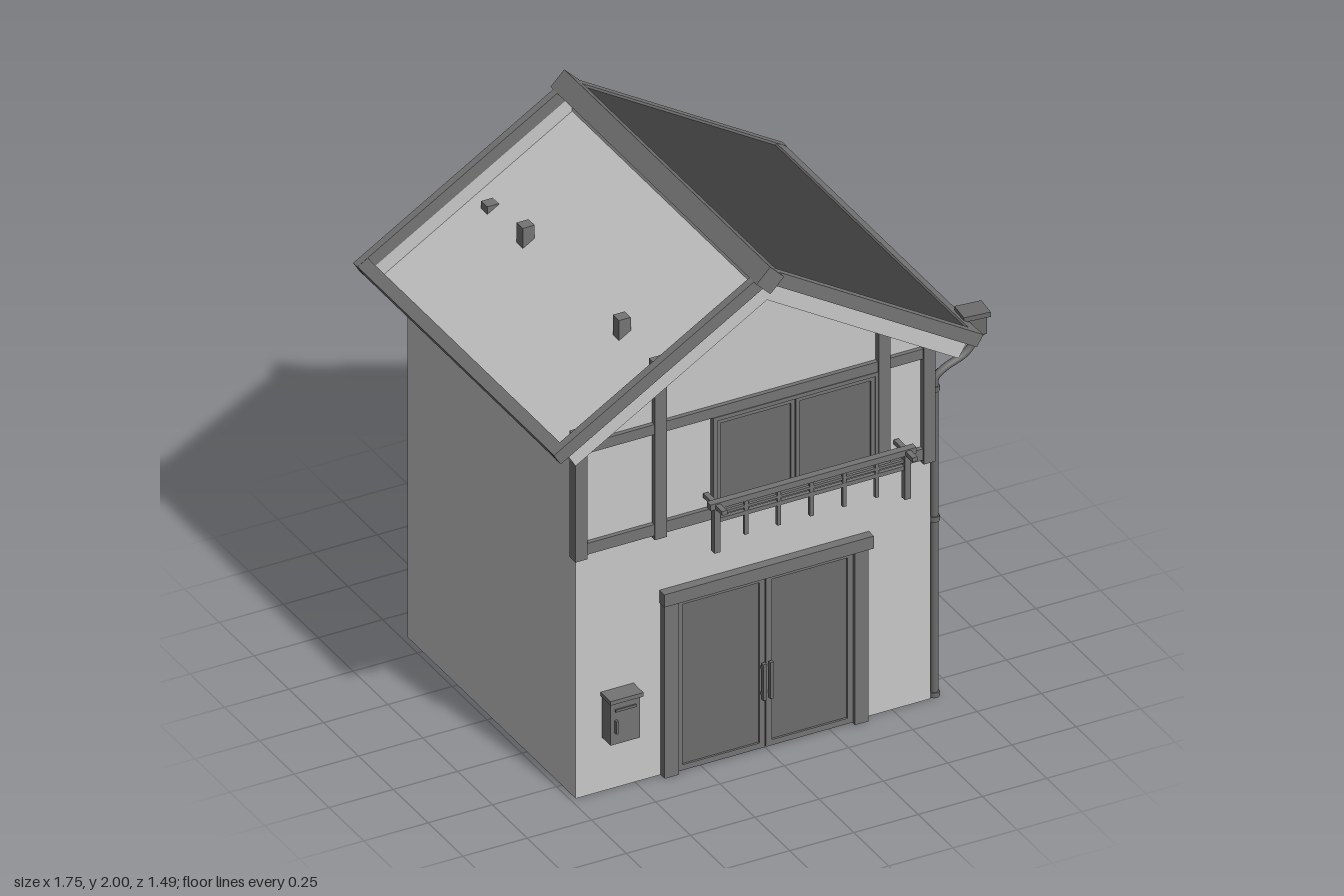
import * as THREE from 'three';

export function createModel() {
  const model = new THREE.Group();
  model.name = 'house';
  const mat = (name, color, side = THREE.FrontSide) => {
    const m = new THREE.MeshStandardMaterial({ color, side });
    m.name = name;
    return m;
  };
  const plaster = mat('plaster', 0xc8c8c8, THREE.DoubleSide);
  const timber = mat('timber', 0x747474);
  const joinery = mat('joinery', 0x6c6c6c);
  const slate = mat('slate', 0x3f3f3f);

  const add = (name, geo, material, parent = model) => {
    const m = new THREE.Mesh(geo, material);
    m.name = name;
    parent.add(m);
    return m;
  };
  // Box given by its limits on each axis
  const box = (name, material, x0, x1, y0, y1, z0, z1, parent = model) => {
    const m = add(name, new THREE.BoxGeometry(x1 - x0, y1 - y0, z1 - z0), material, parent);
    m.position.set((x0 + x1) / 2, (y0 + y1) / 2, (z0 + z1) / 2);
    return m;
  };
  const shapeOf = pts => new THREE.Shape(pts.map(p => new THREE.Vector2(...p)));

  // ---- Walls: an open-bottomed thin shell ----
  const MID = -0.04, HALF = 0.69, APEX = 1.85, EAVE = 1.433, FRONT = 0.6, BACK = -0.608;
  const gable = shapeOf([[-HALF, 0], [HALF, 0], [HALF, EAVE], [0, APEX], [-HALF, EAVE]]);
  add('frontWall', new THREE.ShapeGeometry(gable), plaster).position.set(MID, 0, FRONT);
  const rear = add('backWall', new THREE.ShapeGeometry(gable), plaster);
  rear.position.set(MID, 0, BACK);
  rear.rotation.y = Math.PI;
  for (const s of [-1, 1]) {
    const side = s > 0
      ? shapeOf([[-FRONT, 0], [0.045, 0], [0.045, 0.615], [0.355, 0.615], [0.355, 0], [-BACK, 0], [-BACK, EAVE], [-FRONT, EAVE]])
      : shapeOf([[BACK, 0], [FRONT, 0], [FRONT, EAVE], [BACK, EAVE]]);
    const wall = add(s > 0 ? 'leftWall' : 'rightWall', new THREE.ShapeGeometry(side), plaster);
    wall.position.x = MID + s * HALF;
    wall.rotation.y = s * Math.PI / 2;
  }

  // ---- Roof: d runs down the slope, n stands off the soffit ----
  const C = 0.856, S = 0.517;
  const slope = (name, material, s, d0, d1, n0, n1, z0, z1) => {
    const at = (d, n) => [MID + s * (d * C + n * S), APEX - d * S + n * C];
    const top = n => (d0 === null ? -n * S / C : d0); // null: mitred at the ridge
    const shape = shapeOf([at(top(n0), n0), at(d1, n0), at(d1, n1), at(top(n1), n1)]);
    const geo = new THREE.ExtrudeGeometry(shape, { depth: z1 - z0, bevelEnabled: false });
    add(name, geo, material).position.z = z0;
  };
  for (const s of [-1, 1]) {
    slope('frontRake', timber, s, null, 0.909, 0.061, 0.111, 0.68, 0.712);
    slope('backRake', timber, s, null, 0.909, 0.061, 0.111, -0.73, -0.7);
    slope('eaveBeam', timber, s, 0.862, 0.908, 0.061, 0.11, -0.725, 0.708);
  }
  slope('roofSlab', plaster, 1, null, 0.87, 0, 0.061, -0.71, 0.7);
  slope('roofCovering', slate, 1, null, 0.862, 0.061, 0.102, -0.7, 0.68);
  // Uncovered slope: sunken deck with edge boards
  slope('openDeck', plaster, -1, null, 0.87, 0, 0.006, -0.71, 0.7);
  slope('frontEdgeBoard', plaster, -1, null, 0.87, 0, 0.061, 0.69, 0.7);
  slope('backEdgeBoard', plaster, -1, null, 0.87, 0, 0.061, -0.71, -0.7);
  slope('eaveEdgeBoard', plaster, -1, 0.864, 0.87, 0, 0.061, -0.71, 0.7);
  slope('eaveInnerStrip', slate, -1, 0.859, 0.864, 0.006, 0.061, -0.7, 0.69);
  const ridge = add('ridgeBeam', new THREE.CylinderGeometry(0.054, 0.054, 1.48, 4), timber);
  ridge.rotation.x = Math.PI / 2;
  ridge.position.set(-0.045, 1.946, -0.007);

  // ---- Timber framing ----
  const post = (x, z, y0, y1) => box('post', timber, x - 0.023, x + 0.023, y0, y1, z - 0.022, z + 0.022);
  post(-0.72, 0.6, 0.96, 1.465);
  post(-0.41, 0.6, 0.96, 1.665);
  post(0.46, 0.6, 0.96, 1.57);
  post(0.635, 0.6, 0.96, 1.465);
  post(-0.41, -0.605, 0.955, 1.65);
  post(0.46, -0.605, 0.955, 1.57);
  for (const z of [-0.35, 0.34]) post(-0.41, z, 1.56, 1.7);
  box('upperRail', timber, -0.72, 0.64, 1.38, 1.42, 0.585, 0.617);
  box('lowerRail', timber, -0.72, 0.64, 0.975, 1.02, 0.585, 0.617);
  box('backRail', timber, -0.41, 0.46, 0.975, 1.02, -0.624, -0.59);

  // Leaf with a raised surround and a sunken pane, facing +z
  const leaf = (name, x0, x1, y0, y1, z, w, parent = model) => {
    box(name + 'Pane', joinery, x0, x1, y0, y1, z - 0.02, z, parent);
    box(name + 'Stile', timber, x0, x0 + w, y0, y1, z, z + 0.008, parent);
    box(name + 'Stile', timber, x1 - w, x1, y0, y1, z, z + 0.008, parent);
    box(name + 'Rail', timber, x0 + w, x1 - w, y0, y0 + w, z, z + 0.008, parent);
    box(name + 'Rail', timber, x0 + w, x1 - w, y1 - w, y1, z, z + 0.008, parent);
  };

  // ---- Upper window ----
  leaf('window', -0.19, 0.114, 1.02, 1.365, 0.607, 0.015);
  leaf('window', 0.118, 0.425, 1.02, 1.365, 0.607, 0.015);
  box('windowJamb', timber, -0.205, -0.19, 1.02, 1.378, 0.59, 0.62);
  box('windowJamb', timber, 0.425, 0.44, 1.02, 1.378, 0.59, 0.62);
  box('windowHead', timber, -0.205, 0.44, 1.365, 1.38, 0.59, 0.62);

  // ---- Window rack ----
  const rack = new THREE.Group();
  rack.name = 'windowRack';
  model.add(rack);
  for (const x of [-0.23, 0.51]) {
    box('rackPost', timber, x - 0.012, x + 0.012, 0.89, 1.08, 0.672, 0.696, rack);
    box('rackArm', timber, x - 0.01, x + 0.01, 1.068, 1.085, 0.61, 0.747, rack);
  }
  box('rackTopRail', timber, -0.258, 0.543, 1.066, 1.09, 0.67, 0.698, rack);
  box('rackMiddleRail', timber, -0.23, 0.51, 1.036, 1.046, 0.678, 0.69, rack);
  box('rackLowerRail', timber, -0.23, 0.51, 1.008, 1.024, 0.676, 0.692, rack);
  for (let i = 0; i < 5; i++) {
    const x = -0.115 + i * 0.1273;
    box('rackBar', timber, x - 0.007, x + 0.007, 0.928, 1.07, 0.677, 0.691, rack);
  }

  // ---- Double front doors ----
  box('doorLintel', timber, -0.405, 0.41, 0.69, 0.74, 0.58, 0.636);
  box('doorPost', timber, -0.4, -0.345, 0, 0.69, 0.585, 0.63);
  box('doorPost', timber, 0.34, 0.393, 0, 0.69, 0.585, 0.63);
  for (const s of [-1, 1]) {
    const a = s < 0 ? -0.345 : 0.002, b = s < 0 ? -0.002 : 0.34;
    leaf('frontDoor', a, b, 0.004, 0.69, 0.608, 0.022);
    const x = s * 0.014;
    box('doorHandle', joinery, x - 0.007, x + 0.007, 0.205, 0.35, 0.624, 0.638);
    for (const y of [0.225, 0.33]) box('handleMount', joinery, x - 0.005, x + 0.005, y - 0.006, y + 0.006, 0.61, 0.626);
  }

  // ---- Recessed side door ----
  box('doorReveal', plaster, 0.585, 0.65, 0, 0.615, -0.045, -0.041);
  box('doorReveal', plaster, 0.585, 0.65, 0, 0.615, -0.359, -0.355);
  box('doorReveal', plaster, 0.585, 0.65, 0.605, 0.615, -0.355, -0.045);
  const sideDoor = new THREE.Group();
  sideDoor.name = 'sideDoor';
  sideDoor.position.set(0.59, 0, -0.2);
  sideDoor.rotation.y = Math.PI / 2;
  model.add(sideDoor);
  box('sideDoorPanel', timber, -0.155, 0.155, 0, 0.606, -0.02, 0, sideDoor);
  box('sideDoorPane', joinery, -0.122, 0.122, 0.26, 0.56, 0, 0.004, sideDoor);
  add('sideDoorKnob', new THREE.SphereGeometry(0.016, 12, 8), joinery, sideDoor).position.set(-0.122, 0.232, 0.014);

  // ---- Mailbox ----
  box('mailbox', timber, -0.628, -0.513, 0.215, 0.382, 0.585, 0.662);
  box('mailboxLid', timber, -0.633, -0.505, 0.382, 0.398, 0.59, 0.672);
  box('mailboxSlot', joinery, -0.61, -0.53, 0.345, 0.355, 0.662, 0.667);
  box('mailboxHandle', joinery, -0.614, -0.606, 0.265, 0.315, 0.666, 0.68);

  // ---- Downpipe and hopper ----
  const Z = 0.59;
  const path = new THREE.CatmullRomCurve3(
    [[0.67, 1.24], [0.675, 1.275], [0.71, 1.303], [0.785, 1.335], [0.815, 1.365], [0.82, 1.41]]
      .map(([x, y]) => new THREE.Vector3(x, y, Z)));
  const pipe = (name, r0, r1, y0, y1) =>
    add(name, new THREE.CylinderGeometry(r1, r0, y1 - y0, 12), joinery).position.set(0.67, (y0 + y1) / 2, Z);
  pipe('downpipe', 0.014, 0.014, 0, 1.245);
  for (const y of [0.002, 0.705, 1.225]) pipe('pipeCollar', 0.019, 0.019, y, y + 0.02);
  add('pipeBend', new THREE.TubeGeometry(path, 24, 0.014, 10), joinery);
  const hopper = new THREE.Group();
  hopper.name = 'rainHopper';
  hopper.position.set(0.822, 0, 0.585);
  hopper.rotation.y = -0.1;
  model.add(hopper);
  box('hopperBox', joinery, -0.039, 0.039, 1.415, 1.485, -0.036, 0.036, hopper);
  box('hopperRim', joinery, -0.05, 0.05, 1.483, 1.502, -0.042, 0.042, hopper);
  const funnel = add('hopperFunnel', new THREE.CylinderGeometry(0.05, 0.022, 0.025, 4).toNonIndexed(), joinery, hopper);
  funnel.rotation.y = Math.PI / 4;
  funnel.position.y = 1.403;
  ridge.geometry = ridge.geometry.toNonIndexed();
  for (const m of [ridge, funnel]) m.geometry.computeVertexNormals();
  return model;
}
